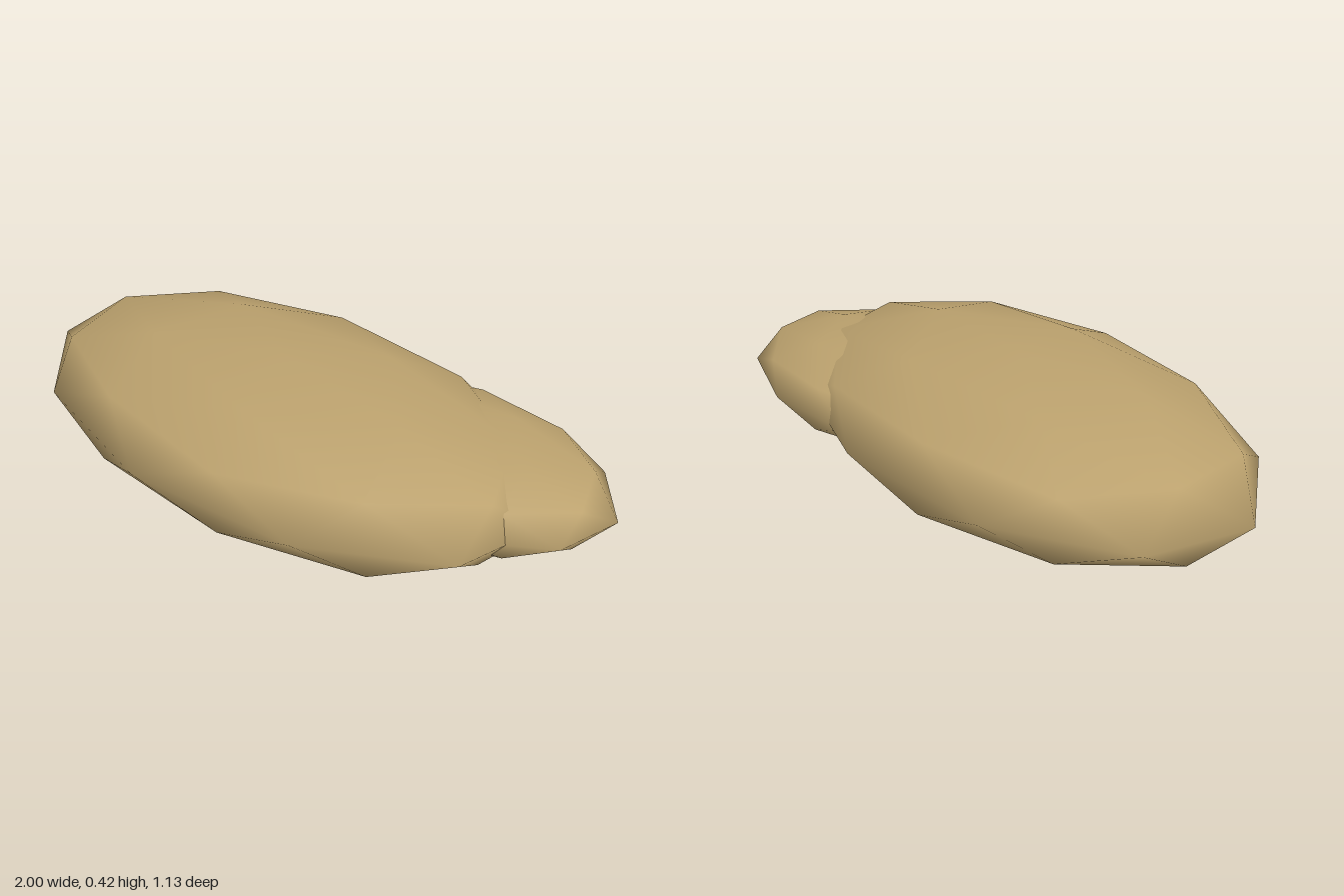
import * as THREE from 'three';
import { mergeVertices } from 'three/addons/utils/BufferGeometryUtils.js';

// Smooth low-poly ellipsoid: once-subdivided icosahedron with a corner at the top
function pebbleGeometry(rx, ry, rz) {
  let geo = new THREE.IcosahedronGeometry(1, 1);
  geo.deleteAttribute('uv');
  geo.deleteAttribute('normal');
  geo.rotateZ(-Math.atan(2 / (1 + Math.sqrt(5))));
  geo = mergeVertices(geo, 1e-4);
  geo.computeVertexNormals();
  geo.scale(rx, ry, rz);
  return geo;
}

export function createModel() {
  const group = new THREE.Group();
  group.name = 'flatStones';
  const sand = new THREE.MeshStandardMaterial({ color: 0xbca26e });
  sand.name = 'sand';

  const add = (name, radii, position) => {
    const mesh = new THREE.Mesh(pebbleGeometry(...radii), sand);
    mesh.name = name;
    mesh.position.set(...position);
    group.add(mesh);
  };

  // Large flattened body and the smaller lobe at its back left
  add('largeStone', [0.994, 0.212, 0.558], [-0.055, 0.212, 0.007]);
  add('smallStone', [0.589, 0.13, 0.367], [0.44, 0.212, -0.198]);

  return group;
}
